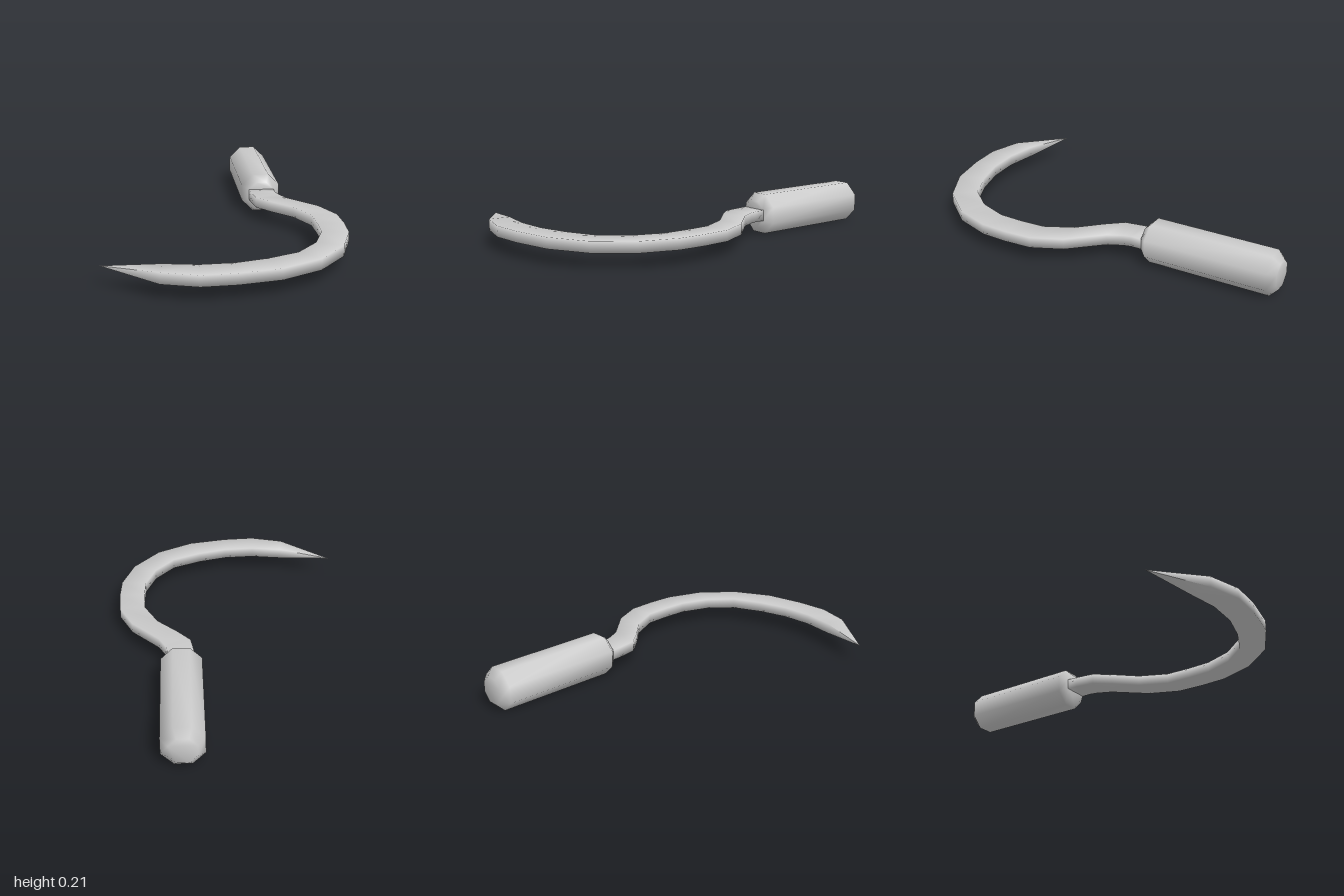
import * as THREE from 'three';

const material = new THREE.MeshStandardMaterial({ color: 0xcccccc, side: THREE.DoubleSide });

// Skins equal-length rings of points with shared vertices (smooth shading) and closes both ends.
function loft(rings, name) {
  const n = rings[0].length, last = (rings.length - 1) * n, index = [];
  for (let r = 0; r < rings.length - 1; r++) {
    for (let i = 0; i < n; i++) {
      const a = r * n + i, b = r * n + (i + 1) % n;
      index.push(a, b, a + n, b, b + n, a + n);
    }
  }
  for (let i = 1; i < n - 1; i++) {
    index.push(0, i + 1, i, last, last + i, last + i + 1);
  }
  const geometry = new THREE.BufferGeometry();
  geometry.setAttribute('position', new THREE.Float32BufferAttribute(rings.flat(2), 3));
  geometry.setIndex(index);
  geometry.computeVertexNormals();
  const mesh = new THREE.Mesh(geometry, material);
  mesh.name = name;
  return mesh;
}

export function createModel() {
  const group = new THREE.Group();
  group.name = 'sickle';
  const midY = 0.107;

  // Octagonal handle with chamfered ends: [z, radius to the flats]
  const handleProfile = [[-1, 0.068], [-0.962, 0.105], [-0.323, 0.105], [-0.285, 0.068]];
  group.add(loft(handleProfile.map(([z, flat]) => {
    const radius = flat / Math.cos(Math.PI / 8);
    return Array.from({ length: 8 }, (_, i) => {
      const a = (i + 0.5) * Math.PI / 4;
      return [0.275 + radius * Math.cos(a), midY + radius * Math.sin(a), z];
    });
  }), 'handle'));

  // Neck and hooked blade: [inner x, inner z, outer x, outer z]
  const sections = [
    [0.205, -0.30, 0.345, -0.30],
    [0.21, -0.23, 0.345, -0.23],
    [0.225, -0.13, 0.355, -0.19],
    [0.295, -0.045, 0.39, -0.115],
    [0.40, 0.065, 0.535, 0.045],
    [0.47, 0.21, 0.605, 0.20],
    [0.475, 0.345, 0.612, 0.345],
    [0.47, 0.47, 0.605, 0.487],
    [0.415, 0.62, 0.54, 0.675],
    [0.31, 0.745, 0.40, 0.845],
    [0.155, 0.815, 0.205, 0.95],
    [0, 0.857, 0, 0.99],
    [-0.165, 0.865, -0.17, 1],
    [-0.33, 0.838, -0.345, 0.95],
    [-0.615, 0.765, -0.615, 0.765],
  ];
  group.add(loft(sections.map(([ix, iz, ox, oz], i) => {
    const h = i === sections.length - 1 ? 0 : 0.028; // blade closes to a point
    return [
      [ix, midY - h, iz], [ox, midY - h, oz],
      [ox, midY + h, oz], [ix, midY + h, iz],
    ];
  }), 'blade'));

  return group;
}
